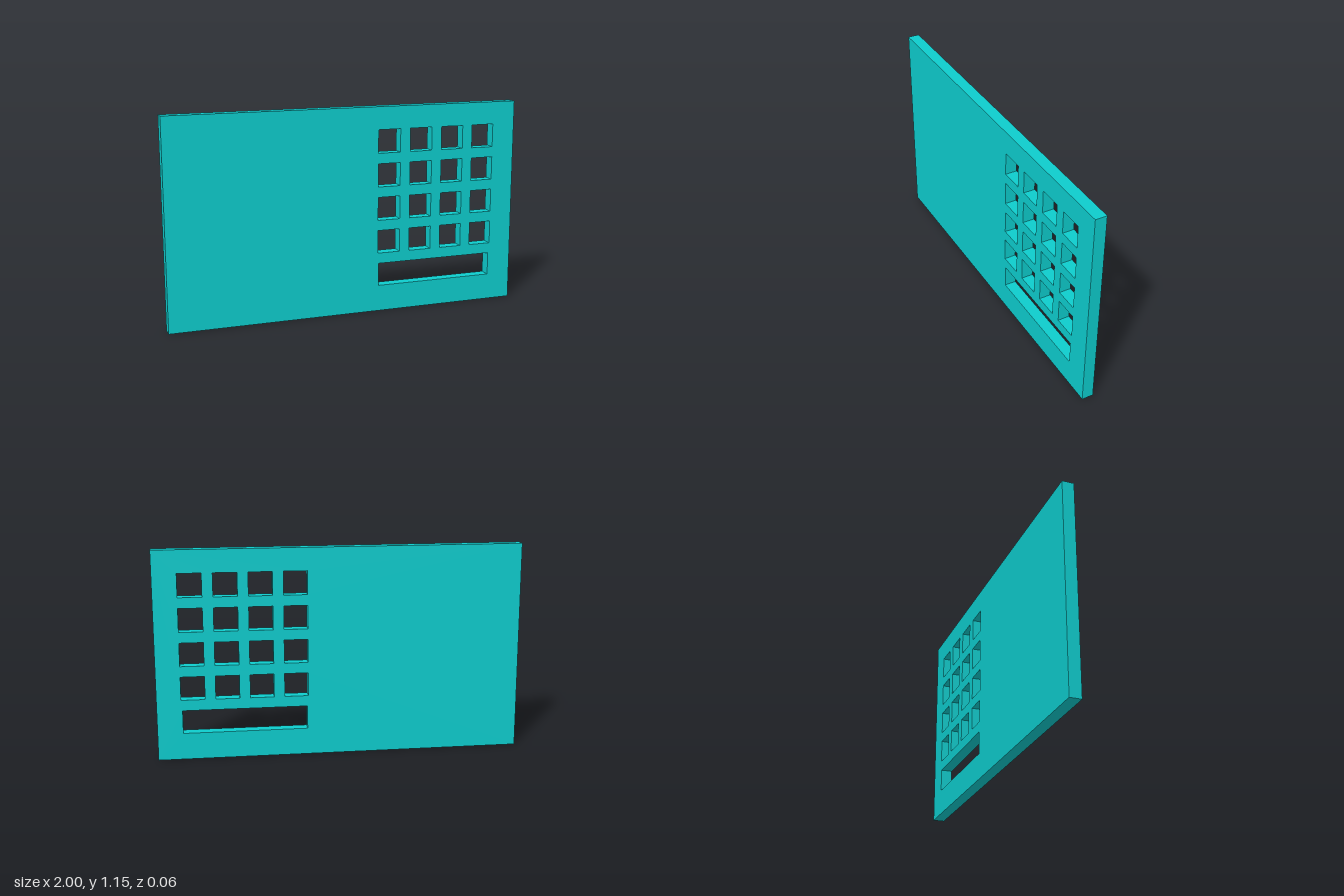
import * as THREE from 'three';

const WIDTH = 2, HEIGHT = 1.15, DEPTH = 0.064;

// Closed rectangle outline from its lower left corner
function rectangle(path, x, y, w, h) {
  path.moveTo(x, y);
  path.lineTo(x + w, y);
  path.lineTo(x + w, y + h);
  path.lineTo(x, y + h);
  path.closePath();
  return path;
}

export function createModel() {
  const group = new THREE.Group();
  group.name = 'keypadPlate';

  // Plate outline
  const outline = rectangle(new THREE.Shape(), -WIDTH / 2, 0, WIDTH, HEIGHT);

  // 4 x 4 grid of square key openings
  const key = 0.129, pitch = 0.1872;
  for (let row = 0; row < 4; row++) {
    for (let col = 0; col < 4; col++) {
      outline.holes.push(rectangle(new THREE.Path(), 0.178 + col * pitch, 0.334 + row * pitch, key, key));
    }
  }

  // Wide slot below the keys
  outline.holes.push(rectangle(new THREE.Path(), 0.183, 0.147, 0.679, 0.128));

  const geometry = new THREE.ExtrudeGeometry(outline, { depth: DEPTH, bevelEnabled: false });
  geometry.translate(0, 0, -DEPTH / 2);

  const plate = new THREE.Mesh(geometry, new THREE.MeshStandardMaterial({ color: 0x0dcbcc }));
  plate.name = 'plate';
  group.add(plate);
  return group;
}
